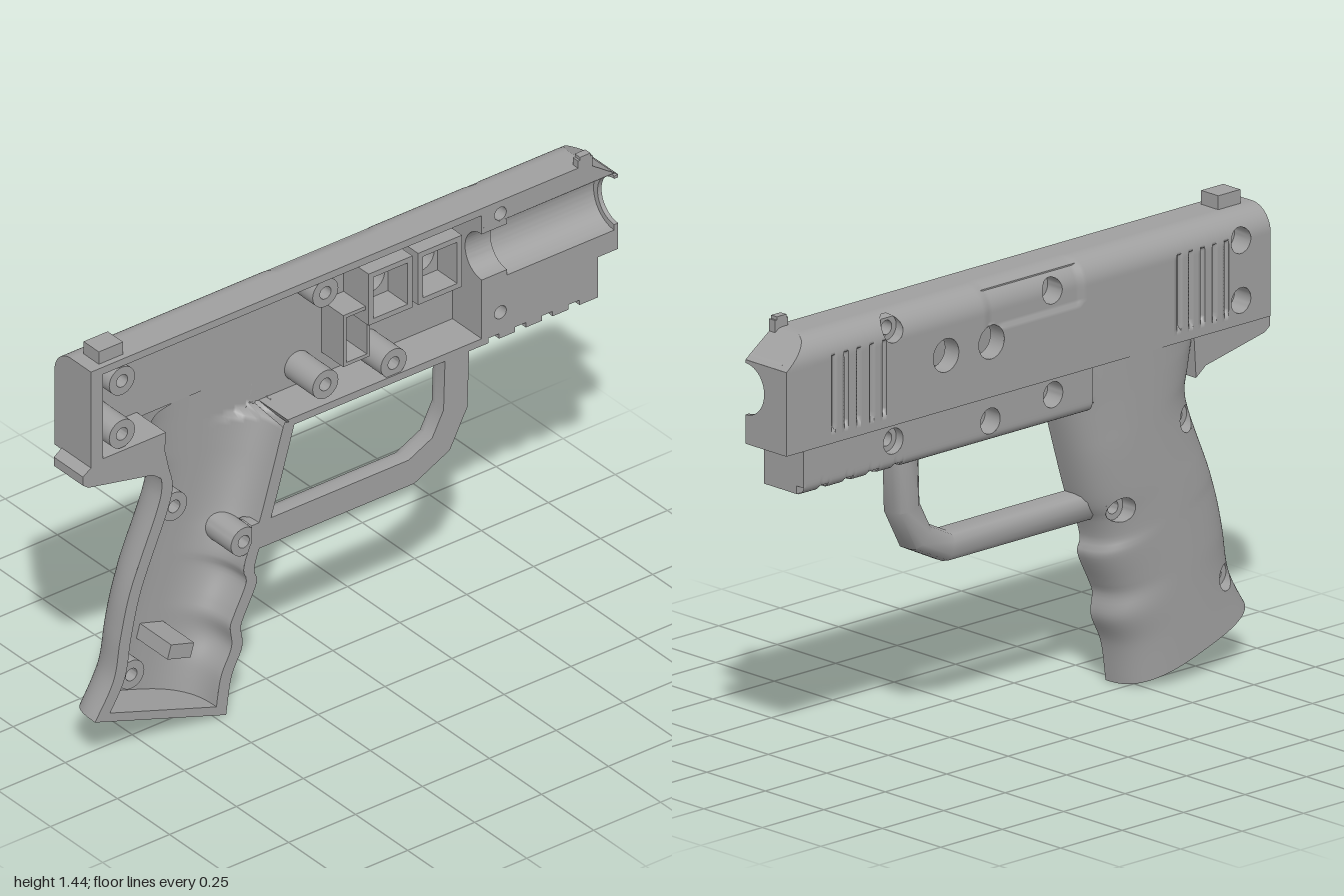
import * as THREE from 'three';
import { toCreasedNormals } from 'three/addons/utils/BufferGeometryUtils.js';

const FRONT = 0.085, FLOOR = -0.055, SLOPE = 0.337;
const lerp = THREE.MathUtils.lerp;
const grey = new THREE.MeshStandardMaterial({ color: 0xa0a0a0, side: THREE.DoubleSide });
grey.name = 'grey plastic';

// screw positions, bored sockets in the muzzle block, and round windows
const screws = [[-0.85, 1.32], [-0.85, 1.135], [-0.09, 1.33], [-0.09, 1.01], [0.165, 0.985],
  [-0.655, 0.805], [-0.395, 0.58], [-0.815, 0.28]];
const sockets = [[0.56, 1.355], [0.56, 1.01]];
const windows = [[0.165, 1.23, 0.052], [0.35, 1.23, 0.052]];
const holes = [...screws, ...sockets].map(([x, y]) => [x, y, 0.04]).concat(windows);
const grooves = [0, 1, 2, 3, 4].flatMap(i => [0.6 + i * 0.052, -0.79 + i * 0.048]);
const notches = [0.535, 0.635, 0.735, 0.835];

// grip edges as x over the sheared height q (rows run parallel to the sloped base)
const edgeOf = pts => {
  const p = new THREE.SplineCurve(pts.map(([x, y]) => new THREE.Vector2(y + SLOPE * (x + 0.955), x))).getPoints(90);
  return q => {
    let i = 1;
    while (i < p.length - 1 && p[i].x < q) i++;
    const t = THREE.MathUtils.clamp((q - p[i - 1].x) / (p[i].x - p[i - 1].x), 0, 1);
    return lerp(p[i - 1].y, p[i].y, t);
  };
};
const backEdge = edgeOf([[-0.955, 0.17], [-0.885, 0.29], [-0.86, 0.425], [-0.82, 0.585], [-0.725, 0.815],
  [-0.705, 0.9], [-0.72, 0.97], [-0.74, 1.06]]);
const frontEdge = edgeOf([[-0.465, 0.005], [-0.445, 0.13], [-0.405, 0.22], [-0.41, 0.29], [-0.395, 0.33],
  [-0.35, 0.425], [-0.36, 0.47], [-0.34, 0.54], [-0.3, 0.62], [-0.21, 0.92], [-0.17, 1.06]]);

// depth of each outer skin
const slideZ = (x, y) => {
  let z = y > 1.32 ? -0.01 - Math.sqrt(Math.max(0, 0.0064 - (y - 1.32) ** 2)) : -0.09;
  if (y > 1.1 && y < 1.33 && grooves.some(g => Math.abs(x - g) < 0.008)) z += 0.014;
  if (y > 1.27 && x > -0.2 && x < 0.17) z += 0.007;
  return z;
};
const frameZ = (x, y) => y < 0.95 ? FLOOR - Math.sqrt(Math.max(0, 0.0009 - (0.95 - y) ** 2)) : -0.085;
const gripZ = (inset, depth) => (x, y) => {
  const q = y + SLOPE * (x + 0.955), l = backEdge(q) + inset, r = frontEdge(q) - inset;
  const s = Math.min(1, Math.abs((2 * x - l - r) / (r - l)));
  const z = FRONT - depth * Math.pow(1 - Math.pow(s, 2.8), 1 / 2.8);
  return y > 0.935 && x > -0.45 ? Math.min(z, FLOOR - 0.002) : z;
};
const gripOuter = gripZ(0, 0.173), gripInner = gripZ(0.04, 0.143);
const skinZ = (x, y) => y > 1.06 ? slideZ(x, y) : x > -0.2 ? frameZ(x, y) : gripOuter(x, y);

// grid surface; an optional depth field sets z, and round holes are cut cleanly
function surface(nu, nv, at, field, cuts = []) {
  const pos = [], inside = [], index = [];
  for (let j = 0; j <= nv; j++) for (let i = 0; i <= nu; i++) {
    let [x, y, z] = at(i / nu, j / nv, i), hit = 0;
    cuts.forEach(([cx, cy, r], k) => {
      const d = Math.hypot(x - cx, y - cy);
      if (d >= r) return;
      hit = k + 1;
      const f = r / (d || 1);
      x = cx + (x - cx) * f; y = cy + (y - cy) * f;
    });
    pos.push(x, y, field ? field(x, y) : z);
    inside.push(hit);
  }
  const tri = (a, b, c) => { if (!(inside[a] && inside[b] && inside[c])) index.push(a, b, c); };
  for (let j = 0; j < nv; j++) for (let i = 0; i < nu; i++) {
    const a = j * (nu + 1) + i, b = a + 1, c = a + nu + 1, d = c + 1;
    tri(a, c, b); tri(b, c, d);
  }
  const g = new THREE.BufferGeometry();
  g.setAttribute('position', new THREE.Float32BufferAttribute(pos, 3));
  g.setIndex(index);
  g.computeVertexNormals();
  return g;
}
const outline = (pts, cuts = []) => {
  const s = new THREE.Shape(pts.map(p => new THREE.Vector2(...p)));
  cuts.forEach(([x, y, r]) => s.holes.push(new THREE.Path().absarc(x, y, r, 0, Math.PI * 2, true)));
  return s;
};
const rect = (x0, y0, x1, y1) => [[x0, y0], [x1, y0], [x1, y1], [x0, y1]];
const slab = (shape, z0, z1) =>
  new THREE.ExtrudeGeometry(shape, { depth: z1 - z0, bevelEnabled: false, curveSegments: 20 }).translate(0, 0, z0);

export function createModel() {
  const model = new THREE.Group();
  const add = (name, g) => {
    const m = new THREE.Mesh(g, grey);
    m.name = name;
    model.add(m);
    return m;
  };
  const box = (name, x0, x1, y0, y1, z0, z1) =>
    add(name, new THREE.BoxGeometry(x1 - x0, y1 - y0, z1 - z0).translate((x0 + x1) / 2, (y0 + y1) / 2, (z0 + z1) / 2));

  // slide skin with grooves, round upper edge and sloped nose
  const xs = [];
  for (let i = 0; i <= 140; i++) xs.push(-0.97 + 1.97 * i / 140);
  grooves.forEach(g => xs.push(g - 0.0084, g - 0.0076, g + 0.0076, g + 0.0084));
  xs.sort((a, b) => a - b);
  const n = xs.length - 1, top = x => Math.min(1.4, 1.4 - (x - 0.885) * 0.7);
  add('slideSkin', surface(n, 44, (u, v, i) => [xs[i], lerp(1.06, top(xs[i]), Math.sin(v * Math.PI / 2))], slideZ, holes));
  add('slideTop', toCreasedNormals(surface(n, 1, (u, v, i) =>
    [xs[i], top(xs[i]), lerp(slideZ(xs[i], top(xs[i])), FRONT, v)]), 0.4));
  add('slideRear', surface(40, 1, (u, v) => {
    const y = lerp(1.06, 1.4, Math.sin(u * Math.PI / 2));
    return [-0.97, y, lerp(slideZ(-0.97, y), FRONT, v)];
  }));
  box('slideLedge', -0.97, 1, 1.06, 1.064, -0.09, FLOOR);

  // frame skin with notched accessory rail
  const inNotch = x => notches.some(c => Math.abs(x - c) < 0.02);
  add('frameSkin', surface(160, 16, (u, v) => {
    const x = lerp(-0.25, 0.925, u);
    return [x, lerp(inNotch(x) ? 0.937 : 0.92, 1.06, v * v * (1.6 - 0.6 * v))];
  }, frameZ, holes));
  box('frameNose', 0.915, 0.925, 0.945, 1.06, -0.085, FLOOR);
  notches.forEach(c => box('railNotch', c - 0.022, c + 0.022, 0.937, 0.945, -0.082, FLOOR));

  // rims: upper wall with tail, lower wall with rail, both with screw holes
  const small = sockets.map(([x, y]) => [x, y, 0.022]);
  const upper = slab(outline([[-0.97, 1.4], [0.885, 1.4], [0.985, 1.331], [0.49, 1.33], [0.49, 1.375],
    [-0.925, 1.375], [-0.925, 1.08], [-0.69, 1.08], [-0.7, 0.92], [-0.74, 0.95], [-0.98, 1.0], [-1, 1.015],
    [-1, 1.045], [-0.97, 1.065]], [small[0]]), FLOOR, FRONT);
  const p = upper.attributes.position;
  for (let i = 0; i < p.count; i++) if (p.getZ(i) < 0) p.setY(i, Math.min(p.getY(i), 1.385));
  upper.computeVertexNormals();
  add('upperRim', upper);
  const teeth = [...notches].reverse().flatMap(c =>
    [[c + 0.02, 0.92], [c + 0.02, 0.937], [c - 0.02, 0.937], [c - 0.02, 0.92]]);
  add('lowerRim', slab(outline([[-0.235, 0.945], [0.49, 0.945], [0.49, 1.13], [0.985, 1.13], [0.985, 1.06],
    [0.925, 1.06], [0.925, 0.92], ...teeth, [-0.22, 0.92]], [small[1]]), FLOOR, FRONT));
  add('cavityFloor', new THREE.ShapeGeometry(outline([[-0.95, 1.385], [-0.95, 1.06], [-0.26, 1.06], [-0.26, 0.94],
    [0.5, 0.94], [0.5, 1.385]], [...screws.slice(0, 5).map(([x, y]) => [x, y, 0.045]), ...windows]), 20)
    .translate(0, 0, FLOOR));

  // barrel channel: cross-sections with a half-round groove, run along x
  const channel = (name, x0, x1, y0, y1, r, back) => {
    const s = new THREE.Shape();
    s.moveTo(-FRONT, y0);
    s.lineTo(-back, y0);
    s.lineTo(-back, y1);
    s.lineTo(-FRONT, y1);
    s.lineTo(-FRONT, 1.23 + r);
    s.absarc(-FRONT, 1.23, r, Math.PI / 2, -Math.PI / 2, true);
    const g = new THREE.ExtrudeGeometry(s, { depth: x1 - x0, bevelEnabled: false, curveSegments: 24 });
    add(name, toCreasedNormals(g.rotateY(Math.PI / 2).translate(x0, 0, 0), 0.5));
  };
  channel('barrelStep', 0.49, 0.585, 1.13, 1.33, 0.08, FLOOR);
  channel('barrelChannel', 0.585, 0.985, 1.13, 1.33, 0.099, FLOOR);
  channel('muzzle', 0.985, 1, 1.06, 1.32, 0.08, -0.09);

  // grip: outer and inner skins, rims and base
  const gripAt = (inset, q0) => (u, v) => {
    const q = lerp(q0, 1.34, v), l = backEdge(q) + inset, r = frontEdge(q) - inset;
    const x = (l + r) / 2 + Math.sin((u - 0.5) * Math.PI) * (r - l) / 2;
    return [x, Math.min(1.06, q - SLOPE * (x + 0.955))];
  };
  const outerAt = gripAt(0, 0.17), innerAt = gripAt(0.04, 0.2);
  add('gripSkin', surface(56, 84, outerAt, gripOuter, holes));
  add('gripLining', surface(56, 84, innerAt, gripInner, holes.map(([x, y]) => [x, y, 0.045])));
  const gripRim = (edge, inset, qTop) => surface(1, 70, (u, v) => {
    const q = lerp(0.17, qTop, v), x = edge(q) + u * inset;
    return [x, q - SLOPE * (x + 0.955), FRONT];
  });
  add('gripBackRim', gripRim(backEdge, 0.04, 1.13));
  add('gripFrontRim', gripRim(frontEdge, -0.04, 1.18));
  const base = (at, field) => surface(56, 1, (u, v) => {
    const [x, y] = at(u, 0);
    return [x, y, lerp(field(x, y), FRONT, v)];
  });
  add('gripBase', base(outerAt, gripOuter));
  add('gripBaseInside', base(innerAt, gripInner));
  add('gripBaseRim', surface(56, 1, (u, v) => [...(v ? innerAt : outerAt)(u, 0), FRONT]));
  const peg = add('gripPeg', new THREE.BoxGeometry(0.09, 0.048, 0.155));
  peg.position.set(-0.64, 0.3, 0.015);
  peg.rotation.z = -0.29;

  // trigger guard: D-shaped section swept along a bent path
  const path = [[-0.37, 0.583], [0.228, 0.583], [0.338, 0.637], [0.392, 0.74], [0.398, 0.93]];
  const section = [[-1, FRONT], [-1, 0.045], [-0.85, 0.02], [-0.45, 0.005], [0.45, 0.005], [0.85, 0.02],
    [1, 0.045], [1, FRONT], [-1, FRONT]];
  add('triggerGuard', toCreasedNormals(surface(path.length - 1, section.length - 1, (u, v, i) => {
    const [w, z] = section[Math.round(v * (section.length - 1))];
    const dir = k => {
      const a = path[k], b = path[k + 1];
      return a && b ? new THREE.Vector2(b[0] - a[0], b[1] - a[1]).normalize() : null;
    };
    const a = dir(i - 1) || dir(i), b = dir(i) || a, t = a.clone().add(b).normalize();
    const m = 0.045 * w / t.dot(a);
    return [path[i][0] - t.y * m, path[i][1] + t.x * m, z];
  }), 0.7));

  // screw posts and sockets, trimmed to the outer skin
  const turned = (name, [x, y], profile) => {
    const g = new THREE.LatheGeometry(profile.map(q => new THREE.Vector2(...q)), 28).rotateX(Math.PI / 2).translate(x, y, 0);
    const a = g.attributes.position;
    for (let i = 0; i < a.count; i++) a.setZ(i, Math.max(a.getZ(i), skinZ(a.getX(i), a.getY(i))));
    add(name, toCreasedNormals(g, 0.6));
  };
  screws.forEach(c => turned('screwPost', c,
    [[0.04, -0.09], [0.04, -0.02], [0.021, -0.02], [0.021, 0.08], [0.048, 0.08], [0.048, -0.075]]));
  sockets.forEach(c => turned('screwSocket', c, [[0.04, -0.09], [0.04, FLOOR]]));

  // square holders around the round windows, and the switch holder
  const ring = (name, x0, y0, x1, y1, t, z) => {
    const s = outline(rect(x0, y0, x1, y1));
    s.holes.push(new THREE.Path(rect(x0 + t, y0 + t, x1 - t, y1 - t).reverse().map(q => new THREE.Vector2(...q))));
    add(name, slab(s, FLOOR, z));
  };
  windows.forEach(w => {
    const [x, y, r] = w;
    ring('windowHolder', x - 0.082, y - 0.09, x + 0.082, y + 0.09, 0.018, 0.065);
    add('windowPlate', slab(outline(rect(x - 0.075, y - 0.08, x + 0.075, y + 0.08), [w]), FLOOR, -0.03));
    add('windowBore', new THREE.CylinderGeometry(r, r, 0.05, 32, 1, true).rotateX(Math.PI / 2).translate(x, y, -0.065));
  });
  ring('switchHolder', 0, 1.02, 0.1, 1.2, 0.012, 0.05);

  // sights
  box('rearSight', -0.925, -0.835, 1.395, 1.443, -0.008, 0.065);
  box('frontSight', 0.85, 0.903, 1.38, 1.425, 0.06, FRONT);
  box('frontSightTip', 0.857, 0.896, 1.425, 1.435, 0.06, FRONT);
  return model;
}
